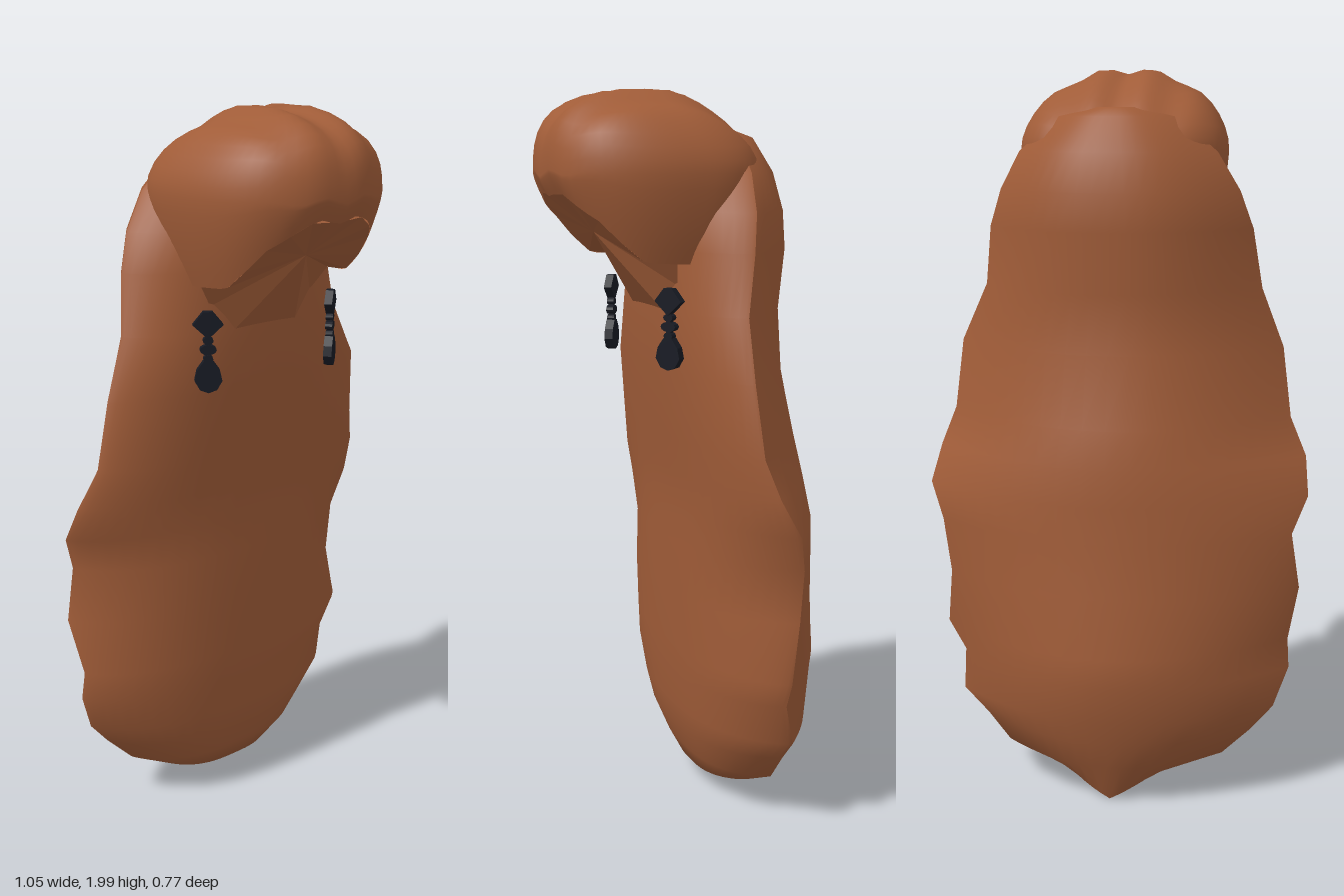
import * as THREE from 'three';
import { mergeVertices } from 'three/addons/utils/BufferGeometryUtils.js';

const brown = new THREE.MeshStandardMaterial({ color: 0xa05c38, side: THREE.DoubleSide });
brown.name = 'chestnutHair';
const black = new THREE.MeshStandardMaterial({ color: 0x171a23 });
black.name = 'blackJewel';

// Smooth surface from a rule giving a point for each row and column
function grid(rows, cols, point) {
  const pos = [], index = [];
  for (let i = 0; i <= rows; i++)
    for (let j = 0; j <= cols; j++) {
      pos.push(...point(i, j));
      if (i < rows && j < cols) {
        const a = i * (cols + 1) + j, b = a + cols + 1;
        index.push(a, b, a + 1, b, b + 1, a + 1);
      }
    }
  let g = new THREE.BufferGeometry();
  g.setAttribute('position', new THREE.Float32BufferAttribute(pos, 3));
  g.setIndex(index);
  g = mergeVertices(g, 1e-5);
  g.computeVertexNormals();
  return g;
}

function addMesh(parent, name, geometry, material) {
  const m = new THREE.Mesh(geometry, material);
  m.name = name;
  parent.add(m);
  return m;
}

// Long hair sections: y, half width at -x, half width at +x, edge z, front z, back z
const SECTIONS = [
  [1.893, 0.06, 0.06, -0.12, -0.07, -0.15],
  [1.87, 0.16, 0.16, -0.11, 0.0, -0.205],
  [1.78, 0.265, 0.265, -0.1, 0.05, -0.252],
  [1.68, 0.325, 0.32, -0.09, 0.08, -0.278],
  [1.58, 0.36, 0.355, -0.07, 0.085, -0.283],
  [1.42, 0.385, 0.375, -0.045, 0.09, -0.265],
  [1.26, 0.445, 0.45, -0.03, 0.08, -0.265],
  [1.07, 0.47, 0.47, -0.05, 0.06, -0.315],
  [0.97, 0.515, 0.505, -0.08, 0.047, -0.335],
  [0.87, 0.525, 0.525, -0.13, 0.04, -0.342],
  [0.77, 0.485, 0.485, -0.16, 0.04, -0.345],
  [0.62, 0.508, 0.465, -0.16, 0.038, -0.36],
  [0.46, 0.48, 0.485, -0.13, 0.033, -0.378],
  [0.38, 0.485, 0.435, -0.14, 0.03, -0.382],
  [0.27, 0.445, 0.435, -0.16, 0.02, -0.355],
  [0.2, 0.385, 0.365, -0.165, 0.01, -0.335],
  [0.12, 0.305, 0.305, -0.16, -0.02, -0.305],
  [0.065, 0.19, 0.19, -0.14, -0.045, -0.25],
];
const LAST = SECTIONS.length - 1, COLS = 24;

function hairPoint(row, u, back) {
  const [y, wl, wr, ze, zf, zb] = SECTIONS[row];
  const a = Math.min(1, Math.abs(u));
  // The back is fuller at the head than in the fall
  const f = back ? 1 - a ** (1.95 + 0.65 * Math.max(0, y - 1) / 0.9) : (1 - a ** 3) ** 0.75;
  // The back hangs down to a small point at the hem
  const drop = back && row === LAST ? 0.065 * Math.max(0, 1 - a / 0.65) : 0;
  return [u * (u < 0 ? wl : wr), y - drop, ze + ((back ? zb : zf) - ze) * f];
}

// Fringe: a squarish dome with an arched lower lip, given as angle and height
const LIP = [[0, 1.73], [22, 1.715], [35, 1.66], [45, 1.6], [56, 1.55], [180, 1.53]];
function lipY(deg) {
  const d = Math.abs(deg);
  const k = LIP.findIndex(([angle]) => d <= angle) || 1;
  const [d0, y0] = LIP[k - 1], [d1, y1] = LIP[k];
  return y0 + (y1 - y0) * (d - d0) / (d1 - d0);
}
function domePoint(row, deg) {
  const a = THREE.MathUtils.degToRad(deg), s = Math.sin(a), c = Math.cos(a);
  const rz = c > 0 ? 0.355 : 0.225, n = 2.5;
  const r = ((Math.abs(s) / 0.28) ** n + (Math.abs(c) / rz) ** n) ** (-1 / n);
  let y, k, cz = 0.03;
  if (row <= 10) {
    const t = row / 10 * Math.PI / 2;
    y = 1.78 + 0.213 * Math.cos(t);
    k = Math.sin(t);
    // The crown leans forward of the widest section
    cz = 0.1 - 0.07 * k ** 4;
  } else {
    y = 1.78 + (lipY(deg) - 1.78) * (row - 10) / 6;
    const t = (1.78 - y) / 0.23;
    k = 1 - 0.18 * t ** 1.5 - 0.3 * Math.max(0, c) ** 8 * t ** 1.2;
  }
  const x = r * k * s;
  // Combed ridges running front to back, fading to the sides
  const ridge = 0.011 * (1 - Math.abs(x) / 0.33) * Math.cos(2 * Math.PI * x / 0.14);
  return [x, y - ridge, cz + r * k * c];
}

// Faceted underside, a fan from one point to the lip and nape
function underside() {
  const loop = [];
  for (let d = -75; d <= 75; d += 10) loop.push(domePoint(16, d));
  loop.push([0.18, 1.49, 0.07], [0.11, 1.42, 0.085], [-0.11, 1.42, 0.085], [-0.18, 1.49, 0.07]);
  const pos = [];
  loop.forEach((p, i) => pos.push(0, 1.625, 0.24, ...loop[(i + 1) % loop.length], ...p));
  const g = new THREE.BufferGeometry();
  g.setAttribute('position', new THREE.Float32BufferAttribute(pos, 3));
  g.computeVertexNormals();
  return g;
}

// Flat drop earring hanging from y = 0
function makeEarring(name) {
  const g = new THREE.Group();
  g.name = name;
  const plate = (part, points, depth) => {
    const shape = new THREE.Shape(points.map(p => new THREE.Vector2(...p)));
    const geo = new THREE.ExtrudeGeometry(shape, { depth, bevelEnabled: false });
    addMesh(g, part, geo.translate(0, 0, -depth / 2), black);
  };
  const disc = (cy, rx, ry) => Array.from({ length: 12 }, (_, i) => {
    const a = i * Math.PI / 6;
    return [rx * Math.cos(a), cy + ry * Math.sin(a)];
  });
  plate('diamond', [[0, -0.077], [0.04, -0.04], [0.012, -0.006], [-0.012, -0.006], [-0.04, -0.04]], 0.022);
  plate('link', [[-0.007, -0.16], [0.007, -0.16], [0.007, -0.05], [-0.007, -0.05]], 0.015);
  plate('upperBead', disc(-0.082, 0.014, 0.01), 0.02);
  plate('middleBead', disc(-0.106, 0.022, 0.013), 0.02);
  plate('lowerBead', disc(-0.13, 0.013, 0.01), 0.02);
  plate('drop', [[0, -0.22], [0.022, -0.212], [0.036, -0.188], [0.03, -0.16], [0.012, -0.135],
    [-0.012, -0.135], [-0.03, -0.16], [-0.036, -0.188], [-0.022, -0.212]], 0.024);
  return g;
}

export function createModel() {
  const model = new THREE.Group();
  model.name = 'longHairWithEarrings';
  // Ease columns toward the edges, where the section turns fastest
  const u = j => Math.sin((j / COLS - 0.5) * Math.PI);

  const hair = new THREE.Group();
  hair.name = 'longHair';
  // The front rolls under at the hem to meet the back
  addMesh(hair, 'hairFront', grid(LAST + 1, COLS, (i, j) => hairPoint(Math.min(i, LAST), u(j), i > LAST)), brown);
  addMesh(hair, 'hairBack', grid(LAST, COLS, (i, j) => hairPoint(i, -u(j), true)), brown);
  addMesh(hair, 'hairTop', grid(1, COLS, (i, j) => hairPoint(0, u(j), i === 0)), brown);
  model.add(hair);

  addMesh(model, 'fringe', grid(16, 72, (i, j) => domePoint(i, j * 5 - 180)), brown);
  addMesh(model, 'fringeUnderside', underside(), brown);

  for (const side of [-1, 1]) {
    const e = makeEarring(side > 0 ? 'leftEarring' : 'rightEarring');
    e.position.set(side * 0.222, 1.495, 0.11);
    e.rotation.y = side * Math.PI / 5;
    model.add(e);
  }
  return model;
}
